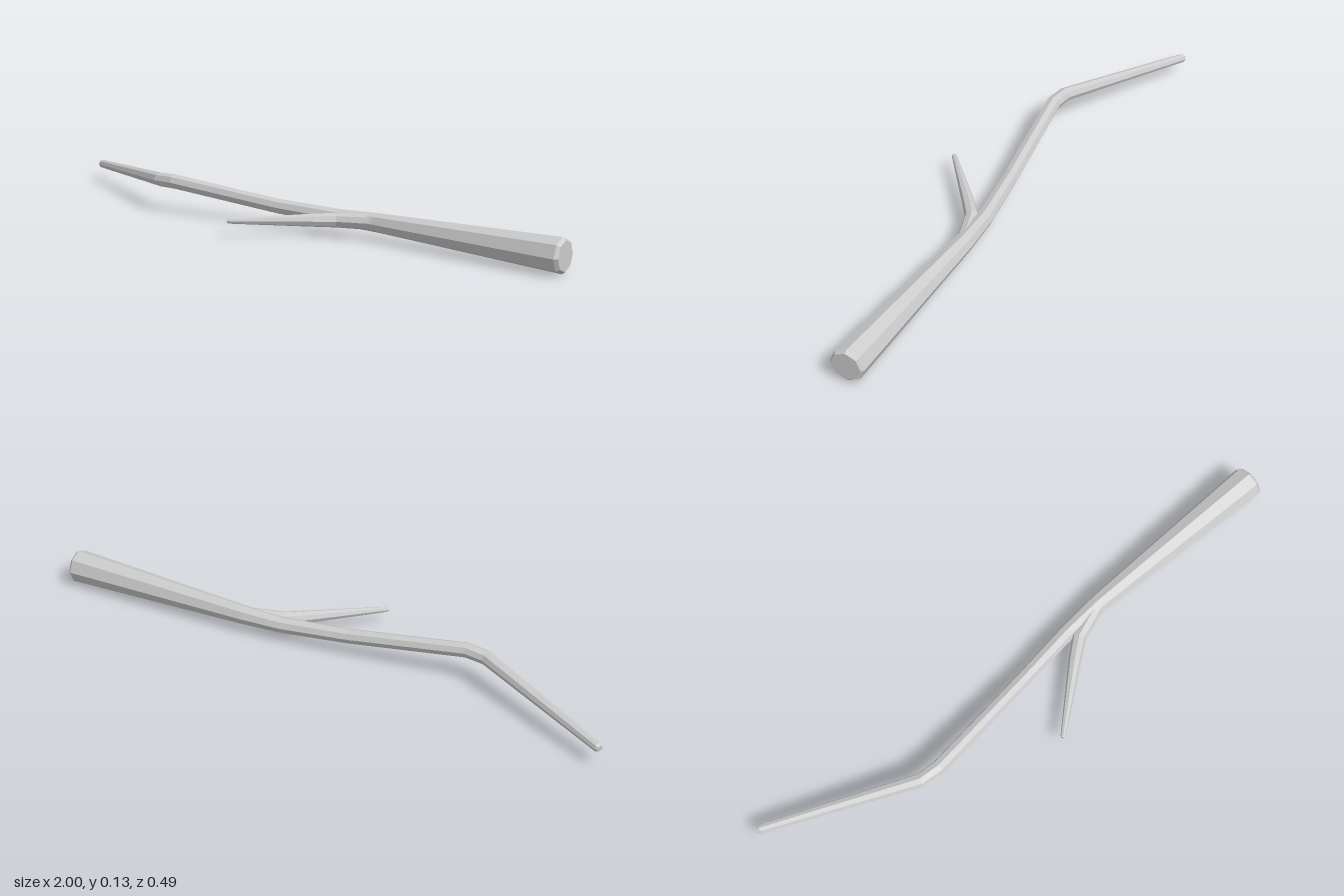
import * as THREE from 'three';

const SIDES = 8;
const material = new THREE.MeshStandardMaterial({ color: 0xcccccc, flatShading: true });

// Faceted tapering limb swept through stations [x, y, z, radius], capped at both ends
function limb(name, stations) {
  const centres = stations.map(([x, y, z]) => new THREE.Vector3(x, y, z));
  const up = new THREE.Vector3(0, 1, 0);
  const rings = centres.map((c, i) => {
    const before = centres[Math.max(i - 1, 0)];
    const after = centres[Math.min(i + 1, centres.length - 1)];
    const dirIn = c.clone().sub(before).normalize();
    const dirOut = after.clone().sub(c).normalize();
    const tangent = dirIn.add(dirOut).normalize();
    const side = tangent.clone().cross(up).normalize();
    const top = side.clone().cross(tangent);
    return Array.from({ length: SIDES }, (_, k) => {
      const a = (k / SIDES) * Math.PI * 2;
      return c.clone()
        .addScaledVector(side, Math.cos(a) * stations[i][3])
        .addScaledVector(top, Math.sin(a) * stations[i][3]);
    });
  });

  const points = [];
  const last = rings.length - 1;
  for (let k = 0; k < SIDES; k++) {
    const n = (k + 1) % SIDES;
    for (let i = 0; i < last; i++) {
      const a = rings[i], b = rings[i + 1];
      points.push(a[k], b[k], a[n], b[k], b[n], a[n]);
    }
    points.push(centres[0], rings[0][k], rings[0][n]);
    points.push(centres[last], rings[last][n], rings[last][k]);
  }
  const geometry = new THREE.BufferGeometry().setFromPoints(points);
  geometry.computeVertexNormals();
  const mesh = new THREE.Mesh(geometry, material);
  mesh.name = name;
  return mesh;
}

export function createModel() {
  const group = new THREE.Group();
  group.name = 'stick';

  // Main stem from the thick bevelled end to the thin bent tip
  group.add(limb('mainStem', [
    [1.0, 0.058, 0.042, 0.049],
    [0.99, 0.058, 0.042, 0.057],
    [0.32, 0.059, -0.006, 0.032],
    [0.18, 0.058, -0.008, 0.027],
    [-0.05, 0.068, 0.008, 0.025],
    [-0.455, 0.107, 0.037, 0.025],
    [-0.525, 0.104, 0.026, 0.024],
    [-0.985, 0.06, -0.23, 0.015],
    [-0.993, 0.059, -0.234, 0.011],
  ]));

  // Side twig forking off towards the front
  group.add(limb('sideTwig', [
    [0.38, 0.06, -0.005, 0.022],
    [0.3, 0.06, 0.0, 0.026],
    [0.19, 0.058, 0.032, 0.024],
    [0.12, 0.058, 0.08, 0.021],
    [-0.088, 0.058, 0.232, 0.009],
    [-0.094, 0.058, 0.237, 0.006],
  ]));

  return group;
}
